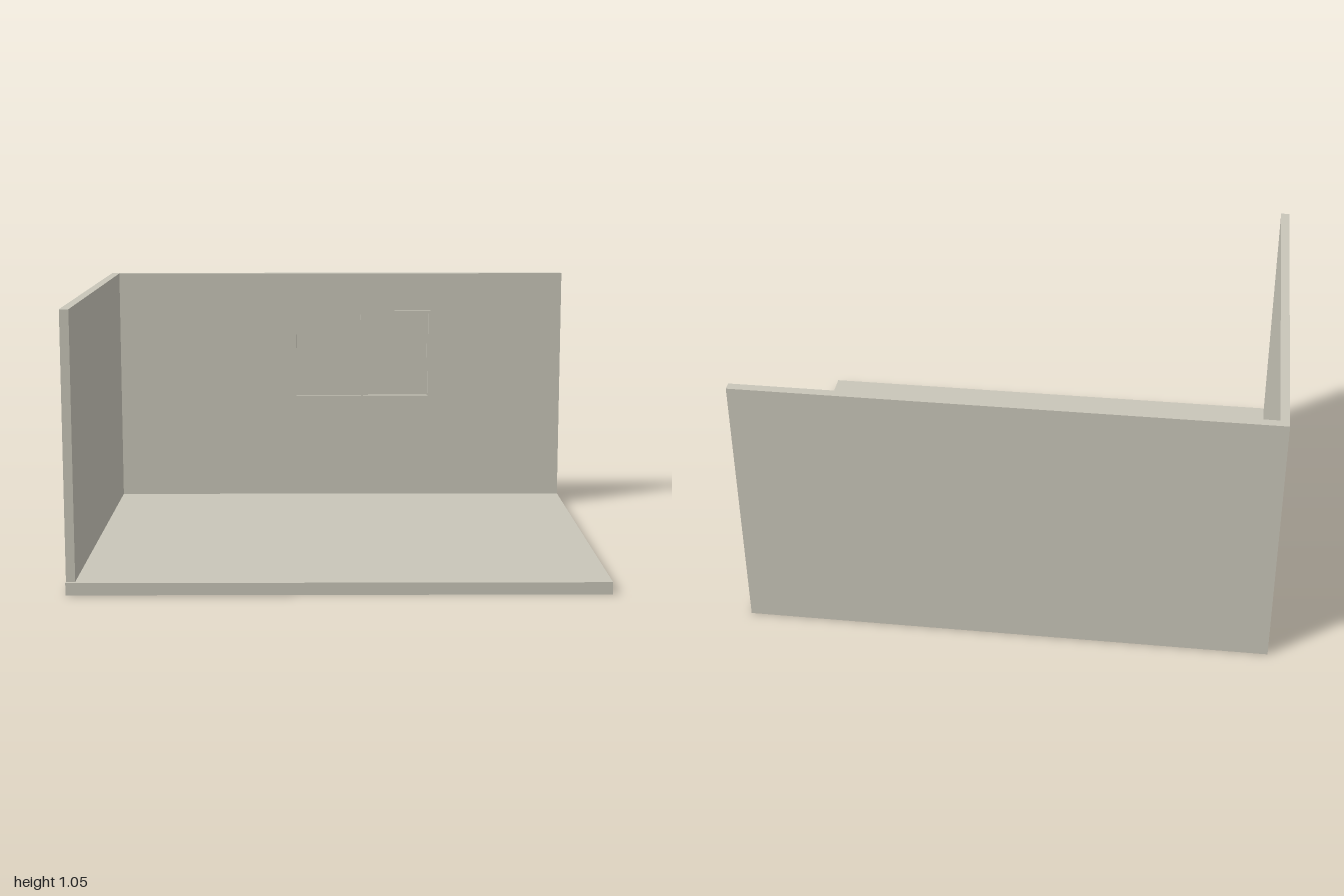
import * as THREE from 'three';

const plaster = new THREE.MeshStandardMaterial({ color: 0xc8c5b8 });
plaster.name = 'warm grey plaster';

// Box given by its minimum and maximum corners
function slab(name, [x0, y0, z0], [x1, y1, z1]) {
  const geometry = new THREE.BoxGeometry(x1 - x0, y1 - y0, z1 - z0);
  geometry.translate((x0 + x1) / 2, (y0 + y1) / 2, (z0 + z1) / 2);
  const mesh = new THREE.Mesh(geometry, plaster);
  mesh.name = name;
  return mesh;
}

function tracePath(path, x0, y0, x1, y1) {
  path.moveTo(x0, y0);
  path.lineTo(x1, y0);
  path.lineTo(x1, y1);
  path.lineTo(x0, y1);
  path.closePath();
  return path;
}

// Rectangular frame with rectangular openings, between two depths
function frame(name, outer, openings, z0, z1) {
  const shape = tracePath(new THREE.Shape(), ...outer);
  for (const o of openings) shape.holes.push(tracePath(new THREE.Path(), ...o));
  const geometry = new THREE.ExtrudeGeometry(shape, { depth: z1 - z0, bevelEnabled: false });
  geometry.translate(0, 0, z0);
  const mesh = new THREE.Mesh(geometry, plaster);
  mesh.name = name;
  return mesh;
}

export function createModel() {
  const room = new THREE.Group();
  room.name = 'openRoom';

  // Floor and the two walls
  room.add(
    slab('floor', [-1, 0, -0.772], [1, 0.046, 0.806]),
    slab('backWall', [-1, 0, -0.806], [1, 1.046, -0.772]),
    slab('sideWall', [-1, 0.046, -0.772], [-0.966, 1.046, 0.788]),
  );

  // Two-light window: narrow rebate against the wall, wider trim in front
  const windowGroup = new THREE.Group();
  windowGroup.name = 'window';
  windowGroup.add(
    frame('windowRebate', [-0.182, 0.495, 0.41, 0.87],
      [[-0.176, 0.502, 0.107, 0.864], [0.118, 0.502, 0.403, 0.864]], -0.772, -0.763),
    frame('windowTrim', [-0.195, 0.484, 0.418, 0.882],
      [[-0.181, 0.497, 0.108, 0.868], [0.117, 0.497, 0.408, 0.868]], -0.763, -0.749),
  );
  room.add(windowGroup);
  return room;
}
